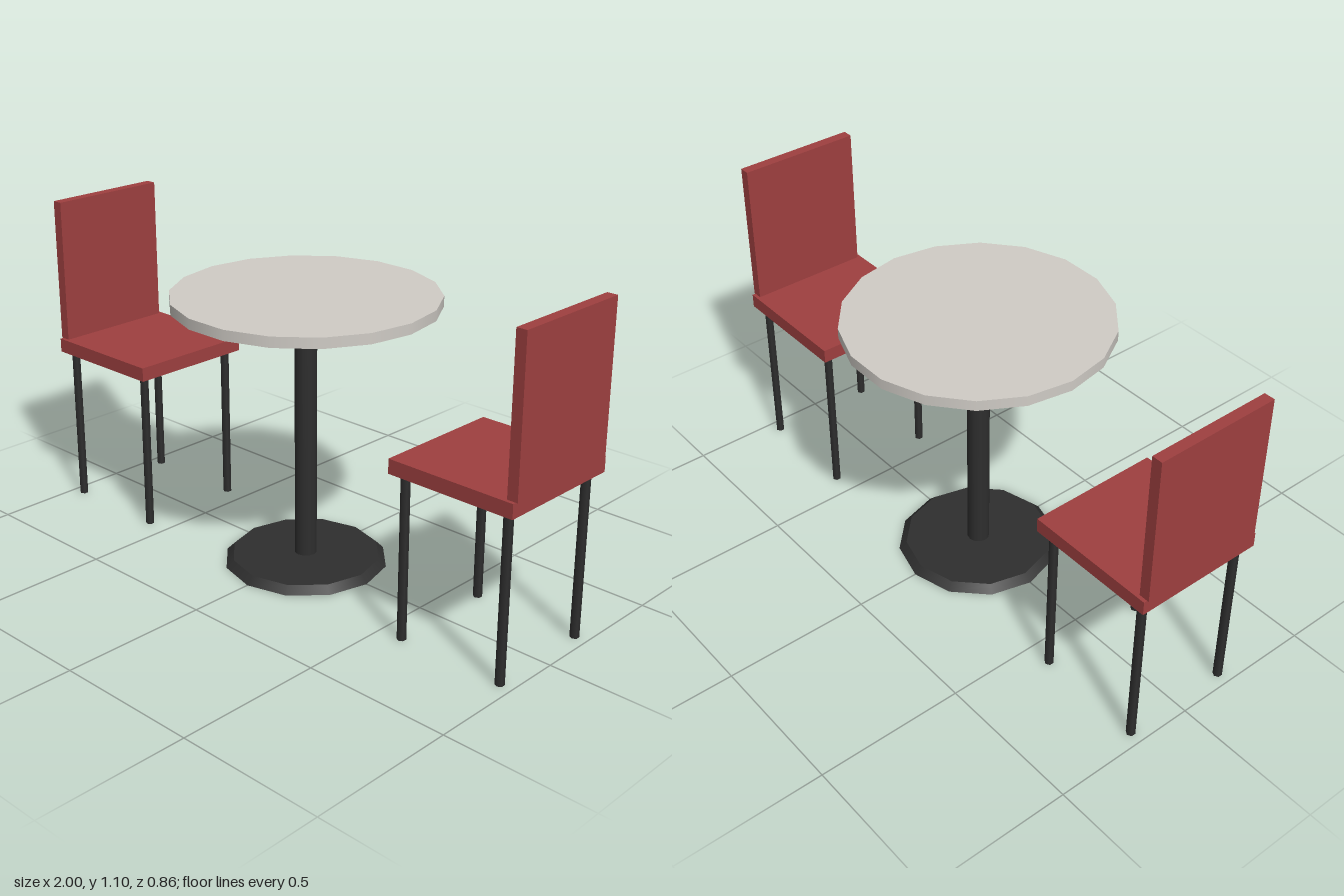
import * as THREE from 'three';

const red = new THREE.MeshStandardMaterial({ color: 0x9f4040 });
const black = new THREE.MeshStandardMaterial({ color: 0x2e2e2e });
const stone = new THREE.MeshStandardMaterial({ color: 0xd0ccc6 });

function add(parent, name, geometry, material, x, y, z) {
  const mesh = new THREE.Mesh(geometry, material);
  mesh.name = name;
  mesh.position.set(x, y, z);
  parent.add(mesh);
  return mesh;
}

// Upright cylinder between two heights
function post(parent, name, rTop, rBottom, y0, y1, sides, material, x = 0, z = 0) {
  const geometry = new THREE.CylinderGeometry(rTop, rBottom, y1 - y0, sides);
  return add(parent, name, geometry, material, x, (y0 + y1) / 2, z);
}

function createTable() {
  const table = new THREE.Group();
  table.name = 'table';
  post(table, 'tableBase', 0.25, 0.275, 0, 0.025, 12, black);
  post(table, 'tablePost', 0.0375, 0.0375, 0.025, 0.898, 12, black);
  // Round top, turned so that a corner points along x
  post(table, 'tableTop', 0.435, 0.435, 0.897, 0.932, 18, stone).rotation.y = Math.PI / 2;
  return table;
}

// Chair on the +x side, looking towards the table
function createChair(name) {
  const chair = new THREE.Group();
  chair.name = name;
  add(chair, 'seat', new THREE.BoxGeometry(0.447, 0.048, 0.448), red, 0.7705, 0.575, 0);
  add(chair, 'backrest', new THREE.BoxGeometry(0.036, 0.496, 0.424), red, 0.982, 0.847, 0);
  for (const x of [0.584, 0.956]) {
    for (const z of [-0.188, 0.188]) {
      post(chair, x < 0.7 ? 'frontLeg' : 'backLeg', 0.015, 0.015, 0, 0.552, 6, black, x, z);
    }
  }
  return chair;
}

export function createModel() {
  const model = new THREE.Group();
  model.name = 'diningSet';
  const leftChair = createChair('leftChair');
  const rightChair = createChair('rightChair');
  rightChair.rotation.y = Math.PI;
  model.add(createTable(), leftChair, rightChair);
  return model;
}
